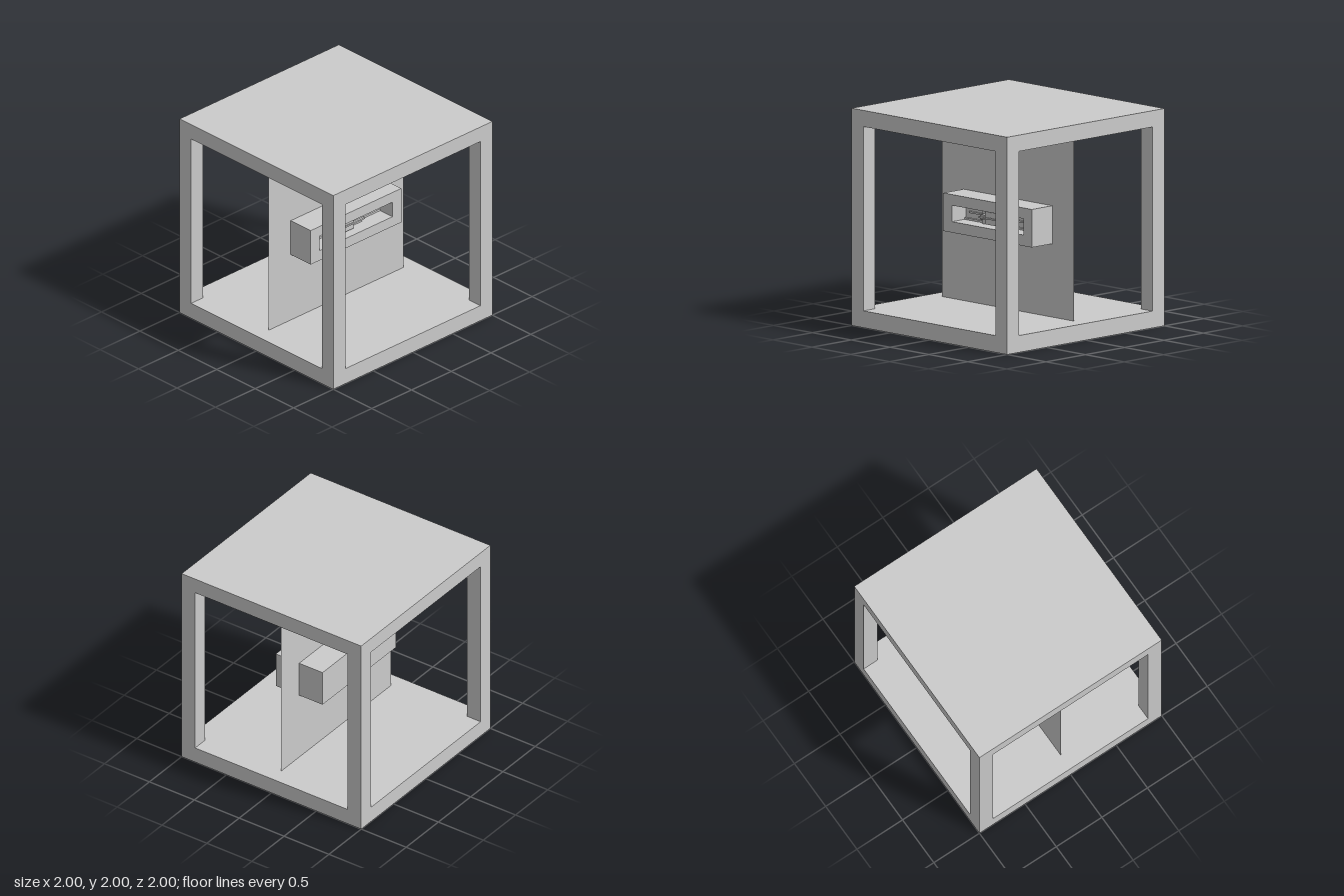
import * as THREE from 'three';

export function createModel() {
  const model = new THREE.Group();
  const mat = new THREE.MeshStandardMaterial({ color: 0xcccccc, flatShading: true, side: THREE.DoubleSide });

  function add(name, geometry, parent = model) {
    const mesh = new THREE.Mesh(geometry, mat);
    mesh.name = name;
    parent.add(mesh);
    return mesh;
  }
  // Box given by its extents on each axis
  function box(name, [x0, x1], [y0, y1], [z0, z1], parent) {
    const mesh = add(name, new THREE.BoxGeometry(x1 - x0, y1 - y0, z1 - z0), parent);
    mesh.position.set((x0 + x1) / 2, (y0 + y1) / 2, (z0 + z1) / 2);
    return mesh;
  }
  function rect(target, x0, x1, y0, y1) {
    target.moveTo(x0, y0);
    target.lineTo(x1, y0);
    target.lineTo(x1, y1);
    target.lineTo(x0, y1);
    target.closePath();
    return target;
  }

  // Outer frame: floor, roof and four corner posts
  const frame = new THREE.Group();
  frame.name = 'outerFrame';
  model.add(frame);
  box('floor', [-1, 1], [0, 0.155], [-1, 1], frame);
  box('roof', [-1, 1], [1.85, 2], [-1, 1], frame);
  for (const sx of [-1, 1]) for (const sz of [-1, 1]) {
    const post = add('cornerPost', new THREE.BoxGeometry(0.15, 1.695, 0.15), frame);
    post.position.set(sx * 0.925, 1.0025, sz * 0.925);
  }

  // Thin upright panel across the middle
  const panel = add('middlePanel', new THREE.PlaneGeometry(1.7, 1.695));
  panel.position.y = 1.0025;

  // Housing: solid back with a front rim around the recess
  const housing = new THREE.Group();
  housing.name = 'housing';
  model.add(housing);
  box('housingBack', [-0.57, 0.57], [0.83, 1.18], [-0.26, 0.08], housing);
  const rim = rect(new THREE.Shape(), -0.57, 0.57, 0.83, 1.18);
  rim.holes.push(rect(new THREE.Path(), -0.46, 0.46, 0.93, 1.08));
  add('housingRim', new THREE.ExtrudeGeometry(rim, { depth: 0.18, bevelEnabled: false }), housing)
    .position.z = 0.08;

  // Row of pins on top
  for (let i = 0; i < 6; i++) {
    const x = -0.067 + i * 0.031;
    box('pin', [x - 0.01, x + 0.01], [1.17, 1.215], [-0.01, 0.01]);
  }

  // Mechanism in the recess
  const mechanism = new THREE.Group();
  mechanism.name = 'mechanism';
  model.add(mechanism);
  for (const s of [-1, 1]) {
    const rod = add('sideRod', new THREE.BoxGeometry(0.2, 0.016, 0.02), mechanism);
    rod.position.set(s * 0.3, 1.005, 0.09);
    const ledge = add('rearLedge', new THREE.BoxGeometry(0.26, 0.018, 0.02), mechanism);
    ledge.position.set(s * 0.33, 0.939, 0.09);
  }
  box('leftDivider', [-0.2, -0.14], [0.93, 1.08], [0.08, 0.13], mechanism);
  box('rightDivider', [0.05, 0.2], [0.93, 1.08], [0.08, 0.13], mechanism);
  box('centreBlock', [-0.105, 0.035], [0.945, 1.06], [0.08, 0.19], mechanism);
  box('crossBar', [-0.175, 0.17], [0.98, 1.025], [0.13, 0.18], mechanism);
  box('crossBarRidge', [-0.175, 0.17], [0.995, 1.01], [0.18, 0.2], mechanism);
  for (let i = 0; i < 3; i++) {
    const x = -0.067 + i * 0.02;
    box('innerPin', [x - 0.005, x + 0.005], [1.06, 1.08], [0.1, 0.12], mechanism);
  }
  return model;
}
